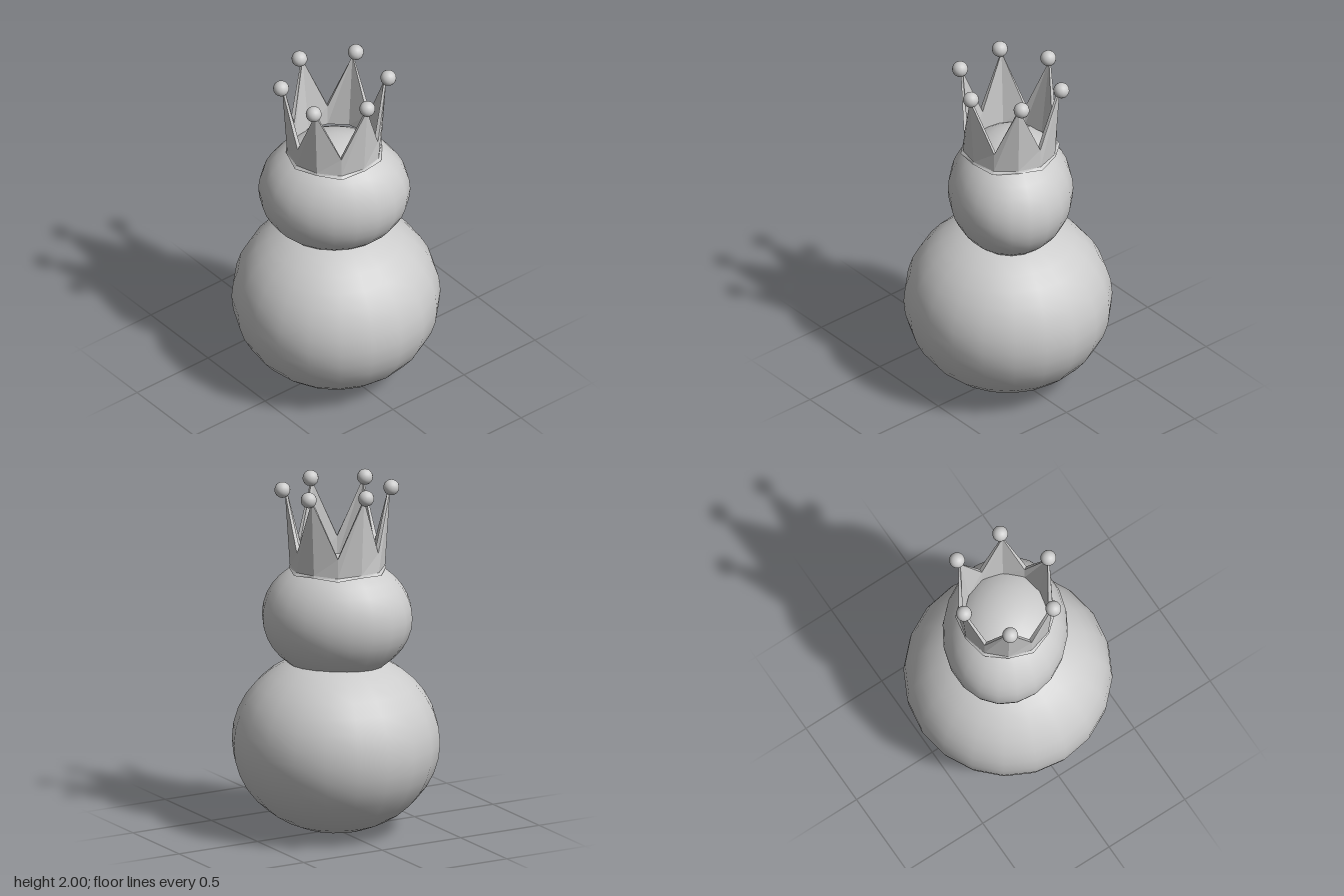
import * as THREE from 'three';

const CENTER_Z = -0.016; // the crown sits slightly back
const POINTS = 6;

function crownGeometry() {
  const n = POINTS * 2;
  const pos = [];
  const index = [];
  // Cross-sections [radius, height]: flared rim, outer wall, inner wall
  const spike = [[0.25, 1.492], [0.267, 1.497], [0.262, 1.51], [0.289, 1.935], [0.277, 1.935], [0.225, 1.5]];
  const valley = [[0.25, 1.484], [0.277, 1.486], [0.262, 1.502], [0.258, 1.61], [0.235, 1.61], [0.232, 1.49]];
  const m = spike.length;
  for (let i = 0; i < n; i++) {
    const a = (i / n) * Math.PI * 2;
    for (const [r, y] of i % 2 ? valley : spike) {
      const z = r * Math.cos(a);
      const lean = y > 1.8 ? -0.03 * z : 0;
      pos.push(r * Math.sin(a), y + lean, z + CENTER_Z);
    }
    for (let j = 0; j < m; j++) {
      const k = (j + 1) % m;
      const p = i * m;
      const q = ((i + 1) % n) * m;
      index.push(p + j, q + j, q + k, p + j, q + k, p + k);
    }
  }
  const g = new THREE.BufferGeometry();
  g.setAttribute('position', new THREE.Float32BufferAttribute(pos, 3));
  g.setIndex(index);
  g.computeVertexNormals();
  return g;
}

export function createModel() {
  const model = new THREE.Group();
  const smooth = new THREE.MeshStandardMaterial({ color: 0xcccccc });
  const faceted = new THREE.MeshStandardMaterial({ color: 0xcccccc, flatShading: true, side: THREE.DoubleSide });

  const add = (parent, name, geometry, material, x = 0, y = 0, z = 0) => {
    const mesh = new THREE.Mesh(geometry, material);
    mesh.name = name;
    mesh.position.set(x, y, z);
    parent.add(mesh);
    return mesh;
  };

  // Two squashed balls, the upper one stretched along a diagonal
  const ball = new THREE.SphereGeometry(1, 20, 18);
  add(model, 'body', ball, smooth, 0, 0.507, 0).scale.set(0.575, 0.507, 0.575);
  const head = add(model, 'head', ball, smooth, 0.002, 1.22, -0.017);
  head.scale.set(0.418, 0.345, 0.345);
  head.rotation.y = -0.68;

  // Six-pointed crown with a bead on each tip
  const crown = new THREE.Group();
  crown.name = 'crown';
  model.add(crown);
  add(crown, 'crownBand', crownGeometry(), faceted);
  const bead = new THREE.SphereGeometry(0.044, 16, 12);
  for (let i = 0; i < POINTS; i++) {
    const a = (i / POINTS) * Math.PI * 2;
    const z = 0.285 * Math.cos(a);
    const x = 0.304 * Math.sin(a) + (i === 3 ? -0.015 : 0.004);
    add(crown, 'crownBead' + (i + 1), bead, smooth, x, 1.946 - 0.03 * z, z + CENTER_Z);
  }
  return model;
}
